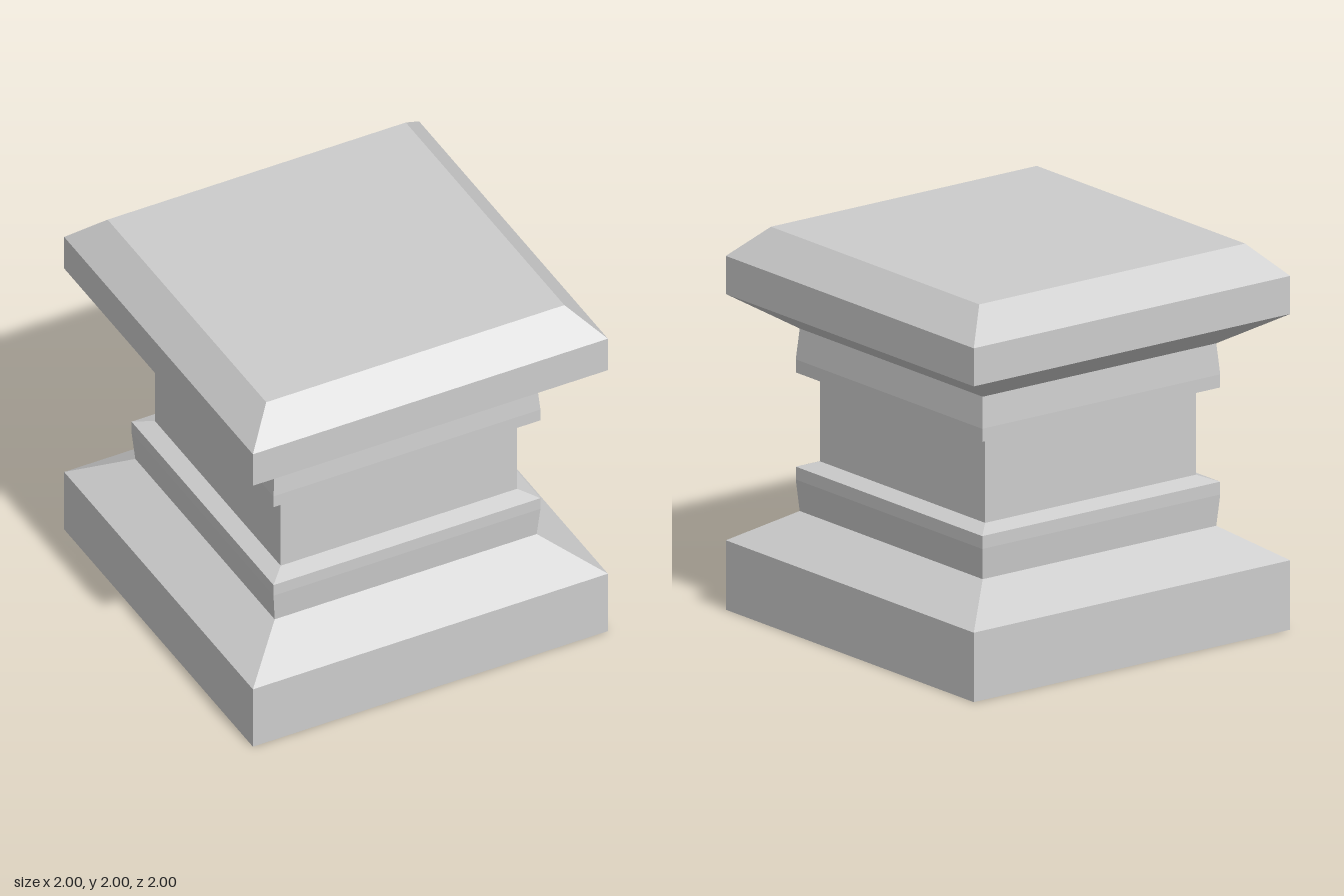
import * as THREE from 'three';

const material = new THREE.MeshStandardMaterial({ color: 0xcccccc, flatShading: true });

// Square section swept up a profile of [half width, height] points, bottom to top
function squareTier(name, profile) {
  const points = profile.map(([half, y]) => new THREE.Vector2(half * Math.SQRT2, y));
  const geometry = new THREE.LatheGeometry(points, 4, Math.PI / 4).toNonIndexed();
  geometry.computeVertexNormals();
  const mesh = new THREE.Mesh(geometry, material);
  mesh.name = name;
  return mesh;
}

export function createModel() {
  const group = new THREE.Group();
  group.name = 'pedestal';
  group.add(
    // Plinth with closed underside and sloped shoulder
    squareTier('base', [[0, 0], [1, 0], [1, 0.361], [0.738, 0.527]]),
    // Slightly flared band and bevel up to the shaft
    squareTier('lowerMoulding', [[0.738, 0.527], [0.752, 0.69], [0.752, 0.757], [0.666, 0.789]]),
    squareTier('shaft', [[0.666, 0.789], [0.666, 1.228]]),
    // Band below the cap, with its underside lip
    squareTier('upperMoulding', [[0.666, 1.228], [0.752, 1.247], [0.752, 1.315], [0.738, 1.476]]),
    // Overhanging slab with chamfered, closed top
    squareTier('cap', [[0.738, 1.476], [1, 1.642], [1, 1.84], [0.84, 2], [0, 2]])
  );
  return group;
}
